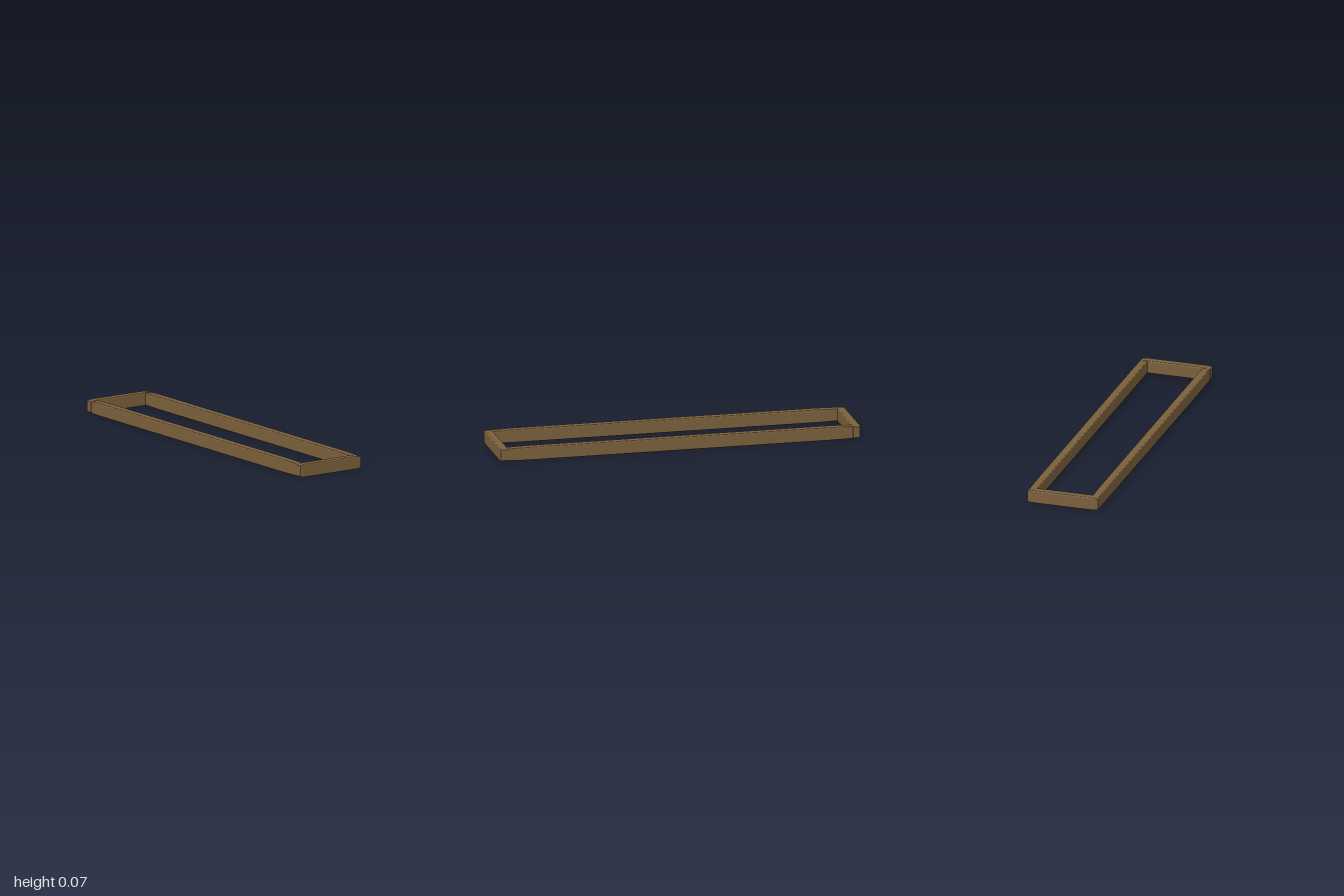
import * as THREE from 'three';
import { RoundedBoxGeometry } from 'three/addons/geometries/RoundedBoxGeometry.js';

const LENGTH = 2, DEPTH = 0.4, HEIGHT = 0.072, THICK = 0.045;

export function createModel() {
  const group = new THREE.Group();
  group.name = 'rectangularFrame';
  const wood = new THREE.MeshStandardMaterial({ color: 0x7a603b });

  // Rounded unit block stretched to size, so the rounding runs long toward the ends
  function rail(name, w, h, d, x, z) {
    const geometry = new RoundedBoxGeometry(1, 1, 1, 5, 0.1);
    geometry.scale(w, h, d);
    const mesh = new THREE.Mesh(geometry, wood);
    mesh.name = name;
    mesh.position.set(x, HEIGHT / 2, z);
    group.add(mesh);
  }

  // Long rails, set just inside the end faces
  const railZ = (DEPTH - THICK) / 2;
  rail('frontRail', LENGTH - 0.01, HEIGHT, THICK, 0, railZ);
  rail('backRail', LENGTH - 0.01, HEIGHT, THICK, 0, -railZ);

  // Short end rails
  const endX = (LENGTH - THICK) / 2;
  rail('leftEndRail', THICK, HEIGHT, DEPTH, endX, 0);
  rail('rightEndRail', THICK, HEIGHT, DEPTH, -endX, 0);

  return group;
}
